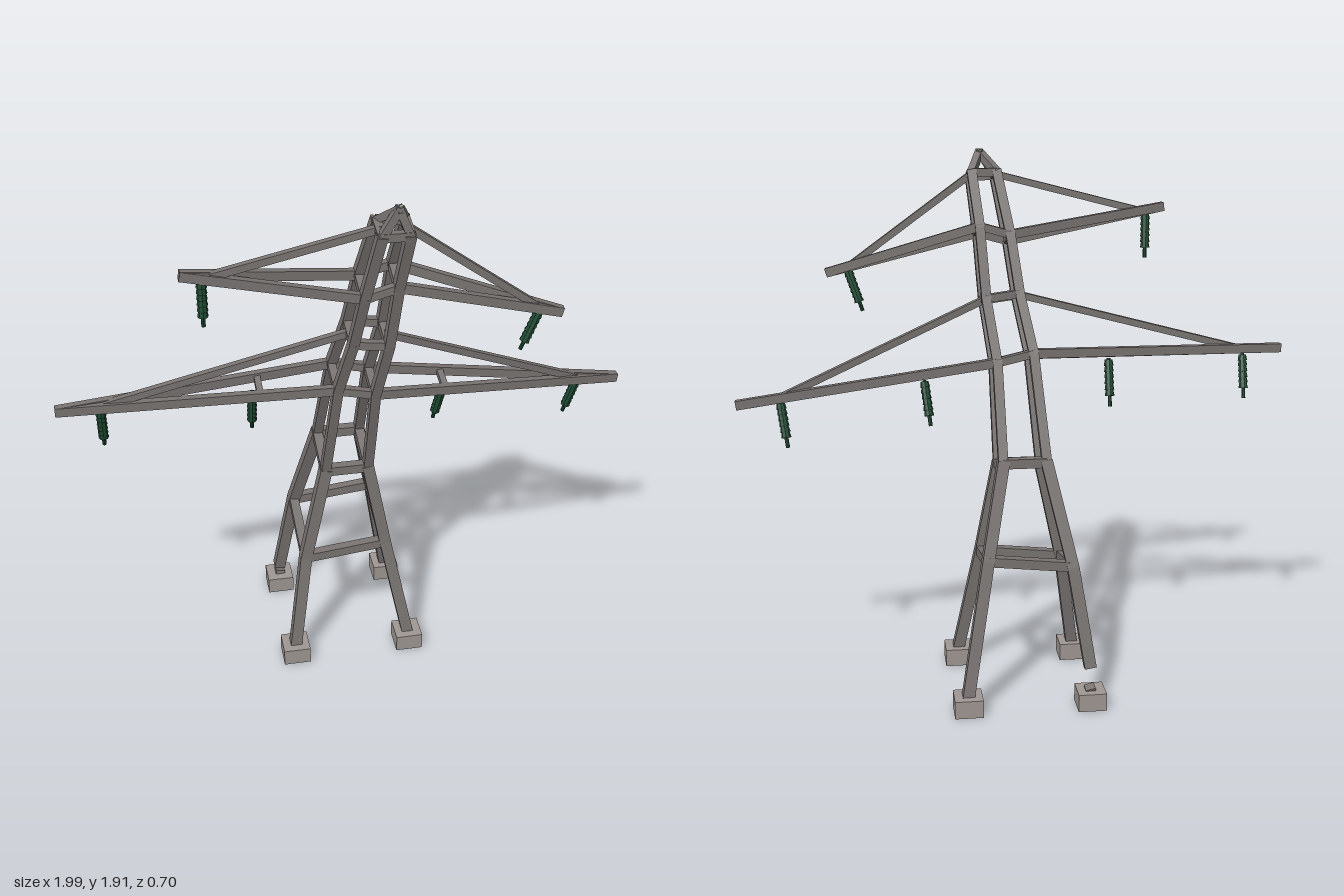
import * as THREE from 'three';

const steel = new THREE.MeshStandardMaterial({ color: 0x7a7573, flatShading: true });
const concrete = new THREE.MeshStandardMaterial({ color: 0xa09894, flatShading: true });
const glass = new THREE.MeshStandardMaterial({ color: 0x1f4a33, flatShading: true });
const V = (x, y, z) => new THREE.Vector3(x, y, z);

// Square bar between two points, lengthened a little at both ends
function beam(name, a, b, width, extra = 0.01, depth = width) {
  const dir = b.clone().sub(a);
  const length = dir.length();
  dir.normalize();
  const ref = Math.abs(dir.y) > 0.75 ? V(0, 0, 1) : V(0, 1, 0);
  const side = ref.clone().cross(dir).normalize();
  const up = dir.clone().cross(side);
  const mesh = new THREE.Mesh(new THREE.BoxGeometry(width, depth, length + 2 * extra), steel);
  mesh.quaternion.setFromRotationMatrix(new THREE.Matrix4().makeBasis(side, up, dir));
  mesh.position.copy(a).lerp(b, 0.5);
  mesh.name = name;
  return mesh;
}

// Ribbed rod hanging from a to b, ending in a thin pin
function insulator(a, b) {
  const length = a.distanceTo(b);
  const profile = [[0, 0], [0.007, 0], [0.007, 0.22]];
  for (let i = 0; i < 6; i++) {
    const t = 0.22 + i * 0.125;
    profile.push([0.018, t], [0.014, t + 0.125]);
  }
  profile.push([0.007, 0.97], [0.007, 1], [0, 1]);
  const geometry = new THREE.LatheGeometry(profile.map(([r, t]) => new THREE.Vector2(r, t * length)), 8);
  const mesh = new THREE.Mesh(geometry, glass);
  mesh.position.copy(b);
  mesh.quaternion.setFromUnitVectors(V(0, 1, 0), a.clone().sub(b).normalize());
  mesh.name = 'insulator';
  return mesh;
}

// Tower cross-sections: right x, left x, front z, back z, front y, back y, sideways tilt
const levels = [
  [-0.218, 0.218, 0.135, -0.30, 0.055, 0.055, 0],
  [-0.165, 0.135, 0.085, -0.205, 0.447, 0.51, 0.016],
  [-0.085, 0.07, 0.07, -0.105, 0.80, 0.85, 0],
  [-0.055, 0.075, 0.16, 0.025, 1.17, 1.20, -0.015],
  [-0.015, 0.105, 0.225, 0.105, 1.385, 1.41, -0.008],
  [0.01, 0.12, 0.28, 0.175, 1.60, 1.635, 0.015],
  [0.05, 0.14, 0.335, 0.25, 1.815, 1.835, 0],
];
function corner(level, sx, sz) {
  const [xr, xl, zf, zb, yf, yb, tilt] = levels[level];
  return V(sx < 0 ? xr : xl, (sz > 0 ? yf : yb) + sx * tilt, sz > 0 ? zf : zb);
}

// Crossarm: two rails from the tower to each tip, a stay above and hanging insulators
function crossarm(name, level, tips, stayAt, struts) {
  const arm = new THREE.Group();
  arm.name = name;
  [-1, 1].forEach((sx, i) => {
    const tip = tips[i];
    const front = corner(level, sx, 1), back = corner(level, sx, -1);
    const rail = (p, t) => p.clone().lerp(tip, t);
    arm.add(beam('frontRail', front, tip, 0.026, 0.004, 0.032));
    arm.add(beam('backRail', back, tip, 0.026, 0.004, 0.032));
    const top = corner(level + 1, sx, 1).lerp(corner(level + 1, sx, -1), 0.5);
    const mid = front.clone().lerp(back, 0.5);
    arm.add(beam('stay', top, mid.lerp(tip, stayAt), 0.024));
    if (struts) arm.add(beam('strut', rail(front, 0.28), rail(back, 0.28), 0.022, 0));
  });
  return arm;
}

export function createModel() {
  const model = new THREE.Group();
  model.name = 'leaningPylon';
  const corners = [[-1, 1], [1, 1], [1, -1], [-1, -1]];
  const apex = V(0.105, 1.9, 0.328);

  // Footings and legs, with the right rear leg torn off its footing
  for (const [sx, sz] of corners) {
    const torn = sx < 0 && sz < 0;
    const foot = corner(0, sx, sz);
    const block = new THREE.Mesh(new THREE.BoxGeometry(0.1, 0.064, 0.1), concrete);
    block.position.set(foot.x, 0.032, foot.z);
    block.name = 'footing';
    model.add(block);
    if (torn) model.add(beam('legStub', foot, V(-0.214, 0.074, -0.304), 0.036, 0));

    const leg = new THREE.Group();
    leg.name = 'leg';
    for (let i = 0; i < 6; i++) {
      const start = i === 0 && torn ? V(-0.222, 0.13, -0.263) : corner(i, sx, sz);
      leg.add(beam('legSection', start, corner(i + 1, sx, sz), i < 2 ? 0.042 : 0.034, i ? 0.006 : 0));
    }
    leg.add(beam('peakSection', corner(6, sx, sz), apex, 0.026, 0.005));
    model.add(leg);
  }

  // Horizontal frames tying the legs together
  for (let level = 1; level <= 6; level++) {
    const frame = new THREE.Group();
    frame.name = 'frame';
    corners.forEach((c, i) => {
      const next = corners[(i + 1) % 4];
      frame.add(beam('frameBar', corner(level, ...c), corner(level, ...next), level < 3 ? 0.034 : 0.028, 0));
    });
    model.add(frame);
  }

  // Crossarms
  model.add(crossarm('lowerCrossarm', 3, [V(-0.99, 1.192, 0.135), V(0.99, 1.055, 0.037)], 0.84, true));
  model.add(crossarm('upperCrossarm', 5, [V(-0.56, 1.705, 0.258), V(0.665, 1.48, 0.284)], 0.86, false));

  // Insulators, each from its hanging point to its lower end
  const hung = [
    [V(-0.498, 1.685, 0.258), V(-0.498, 1.52, 0.25)],
    [V(0.592, 1.49, 0.282), V(0.542, 1.34, 0.265)],
    [V(-0.848, 1.175, 0.125), V(-0.848, 1.015, 0.085)],
    [V(-0.34, 1.175, 0.1), V(-0.34, 1.005, 0.055)],
    [V(0.332, 1.115, 0.085), V(0.314, 0.958, 0.035)],
    [V(0.84, 1.06, 0.045), V(0.818, 0.905, -0.003)],
  ];
  for (const [a, b] of hung) model.add(insulator(a, b));
  return model;
}
